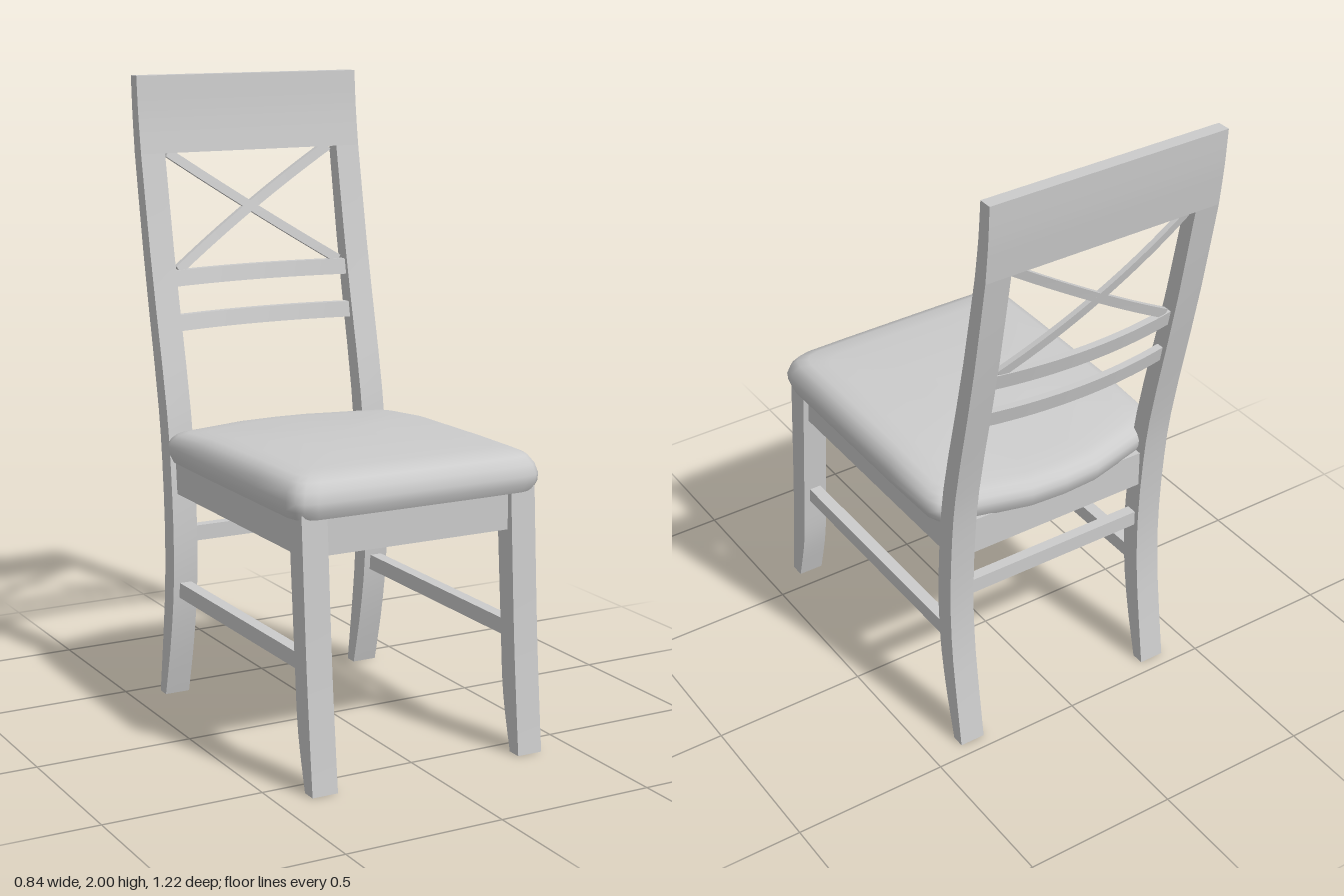
import * as THREE from 'three';
import { toCreasedNormals } from 'three/addons/utils/BufferGeometryUtils.js';

const material = new THREE.MeshStandardMaterial({ color: 0xcccccc });

export function createModel() {
  const model = new THREE.Group();
  const add = (name, geometry) => {
    const mesh = new THREE.Mesh(geometry, material);
    mesh.name = name;
    model.add(mesh);
  };
  const box = (name, w, h, d, x, y, z) =>
    add(name, new THREE.BoxGeometry(w, h, d).translate(x, y, z));

  // Side profile given as rows of [y, back z, front z], extruded along x
  const profile = (name, rows, width, x) => {
    const edge = (k) => new THREE.SplineCurve(rows.map((r) => new THREE.Vector2(r[k], r[0]))).getPoints(16);
    const shape = new THREE.Shape([...edge(1), ...edge(2).reverse()]);
    const geometry = new THREE.ExtrudeGeometry(shape, { depth: width, bevelEnabled: false });
    geometry.rotateY(-Math.PI / 2).translate(x + width / 2, 0, 0);
    add(name, toCreasedNormals(geometry, 0.5));
  };

  // Curved legs; the back ones run up into the posts
  const frontLeg = [[0, 0.563, 0.61], [0.18, 0.52, 0.592], [0.4, 0.5, 0.573], [0.82, 0.467, 0.546]];
  const backPost = [
    [0, -0.456, -0.414], [0.18, -0.43, -0.37], [0.36, -0.408, -0.341], [0.56, -0.401, -0.334],
    [0.8, -0.415, -0.35], [1, -0.443, -0.38], [1.4, -0.527, -0.471], [1.755, -0.59, -0.54],
  ];
  const topRail = [[1.755, -0.59, -0.54], [1.88, -0.603, -0.557], [2, -0.61, -0.567]];
  for (const s of [1, -1]) {
    const side = s > 0 ? 'left' : 'right';
    profile(side + 'FrontLeg', frontLeg, 0.083, s * 0.352);
    profile(side + 'BackPost', backPost, 0.083, s * 0.352);
    box(side + 'Apron', 0.04, 0.12, 0.84, s * 0.355, 0.75, 0.065);
    box(side + 'Stretcher', 0.04, 0.05, 0.86, s * 0.352, 0.37, 0.08);
  }
  profile('topRail', topRail, 0.787, 0);
  box('frontApron', 0.64, 0.12, 0.04, 0, 0.75, 0.51);
  box('backApron', 0.64, 0.12, 0.04, 0, 0.75, -0.375);
  box('backStretcher', 0.64, 0.05, 0.035, 0, 0.55, -0.367);

  // Back slats: follow the lean of the posts and bow backward in the middle
  const slat = (name, length, height, depth, y, angle) => {
    const geometry = new THREE.BoxGeometry(length, height, depth, 16, 1, 1).rotateZ(angle).translate(0, y, 0);
    const p = geometry.attributes.position;
    for (let i = 0; i < p.count; i++) {
      const x = p.getX(i);
      const lean = -0.497 - 0.2 * (p.getY(i) - 1.4);
      p.setZ(i, p.getZ(i) + lean - 0.032 * (1 - (x / 0.31) ** 2));
    }
    geometry.computeVertexNormals();
    add(name, geometry);
  };
  slat('lowerSlat', 0.63, 0.05, 0.025, 1.22, 0);
  slat('upperSlat', 0.63, 0.05, 0.025, 1.36, 0);
  slat('risingCrossBar', 0.69, 0.03, 0.018, 1.57, 0.568);
  slat('fallingCrossBar', 0.69, 0.03, 0.018, 1.57, -0.568);

  add('seatCushion', cushion());
  return model;
}

// Padded seat: nested outlines lofted from the underside up to the crown
function cushion() {
  const half = [ // left half of the outline, back to front
    [0, -0.445], [0.12, -0.438], [0.22, -0.412], [0.31, -0.388], [0.375, -0.367], [0.4, -0.35],
    [0.416, -0.31], [0.42, -0.1], [0.42, 0.3], [0.42, 0.5], [0.41, 0.54], [0.39, 0.558],
    [0.35, 0.568], [0.2, 0.57], [0, 0.57],
  ];
  const outline = [...half, ...half.slice(1, -1).reverse().map(([x, z]) => [-x, z])];
  const rings = [ // [inset, y]
    [0.42, 0.805], [0.012, 0.805], [0.002, 0.83], [0, 0.855], [0.008, 0.885],
    [0.024, 0.91], [0.05, 0.922], [0.1, 0.927], [0.25, 0.93], [0.42, 0.931],
  ];
  const n = outline.length, positions = [], index = [];
  rings.forEach(([inset, y], r) => {
    const k = 1 - inset / 0.42, mid = 0.06;
    for (const [x, z] of outline) {
      const pz = mid + (z - mid) * k;
      // The top falls away toward the back
      const fall = y > 0.86 ? 0.028 * THREE.MathUtils.smoothstep(-pz, -0.05, 0.42) * (y - 0.855) / 0.07 : 0;
      positions.push(x * k, y - fall, pz);
    }
    if (r === 0) return;
    for (let i = 0; i < n; i++) {
      const j = (i + 1) % n, a = (r - 1) * n, b = r * n;
      if (r > 1) index.push(a + i, b + i, a + j);
      if (r < rings.length - 1) index.push(a + j, b + i, b + j);
      if (r === 1) continue;
      if (r === rings.length - 1) continue;
    }
  });
  const geometry = new THREE.BufferGeometry();
  geometry.setAttribute('position', new THREE.Float32BufferAttribute(positions, 3));
  geometry.setIndex(index);
  return toCreasedNormals(geometry, 0.9);
}
